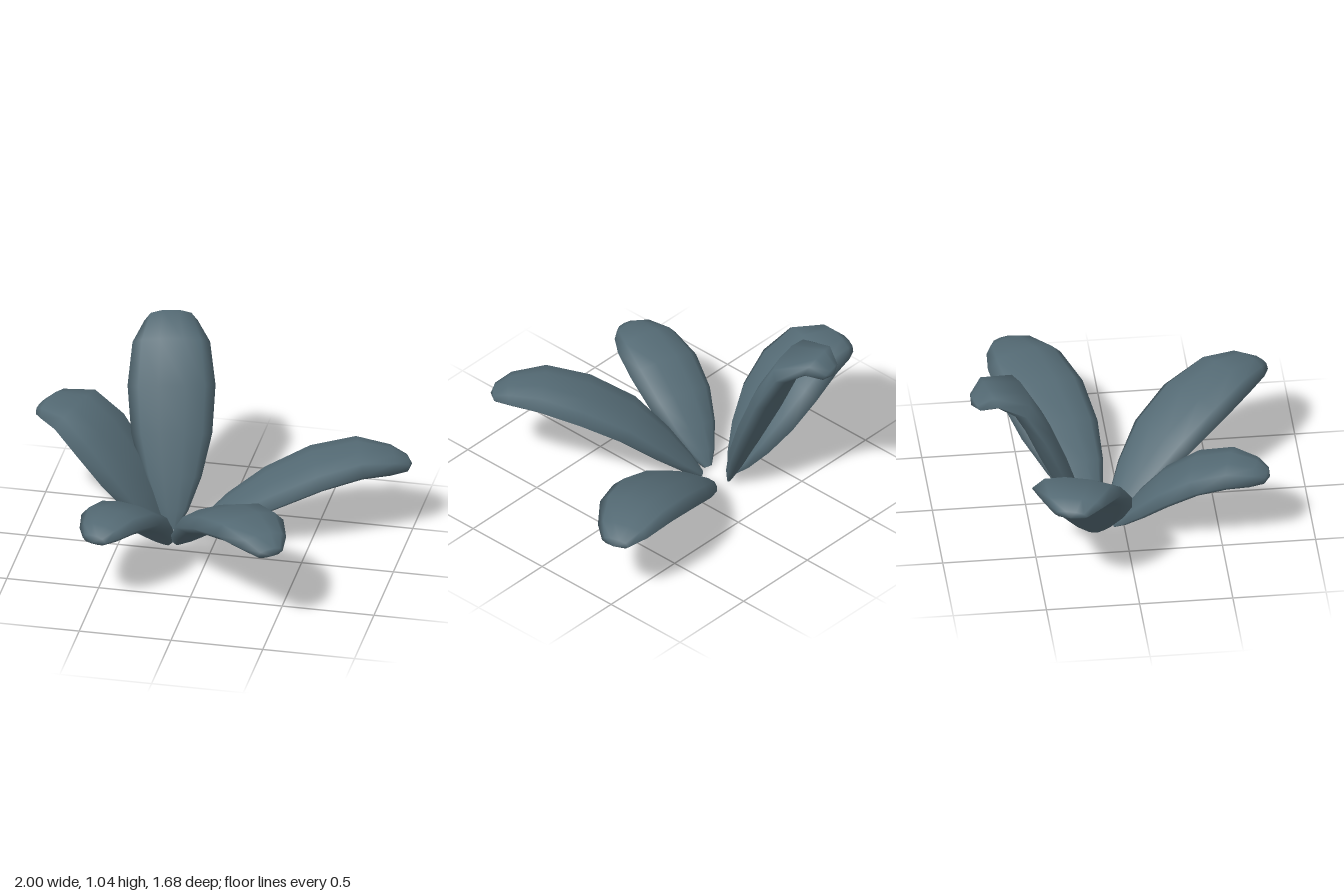
import * as THREE from 'three';

// Cross-section of a leaf: [across, up], as fractions of half width and half thickness
const SECTION = [
  [1, -0.1], [0.76, 0.66], [0.3, 0.95], [-0.3, 0.95], [-0.76, 0.66],
  [-1, -0.1], [-0.74, -0.72], [-0.28, -0.9], [0.28, -0.9], [0.74, -0.72],
];
// Stations along a leaf: [position, width, thickness]
const STATIONS = [
  [0, 0.12, 0.15], [0.08, 0.38, 0.45], [0.22, 0.69, 0.75], [0.4, 0.94, 0.95], [0.6, 1.02, 1],
  [0.78, 0.9, 1], [0.91, 0.62, 0.8], [0.98, 0.34, 0.45],
];

// Each leaf: foot and tip on the ground plan [x, z], half width, and spine [distance out, height]
const LEAVES = [
  { name: 'frontLeftLeaf', foot: [-0.18, -0.07], tip: [0.51, 0.82], width: 0.225,
    spine: [[0, 0.015], [0.14, 0.14], [0.39, 0.35], [0.7, 0.49], [0.93, 0.53], [1.13, 0.48]] },
  { name: 'backLeftLeaf', foot: [-0.15, -0.15], tip: [0.99, -0.51], width: 0.235,
    spine: [[0, 0.015], [0.25, 0.18], [0.65, 0.38], [0.93, 0.445], [1.2, 0.395]] },
  { name: 'tallBackLeaf', foot: [-0.25, -0.21], tip: [-0.39, -0.84], width: 0.23,
    spine: [[0, 0.015], [0.07, 0.22], [0.19, 0.52], [0.3, 0.78], [0.4, 0.95], [0.5, 1.005], [0.64, 0.94]] },
  { name: 'backRightLeaf', foot: [-0.3, -0.17], tip: [-1, -0.37], width: 0.265,
    spine: [[0, 0.015], [0.19, 0.31], [0.37, 0.52], [0.56, 0.64], [0.73, 0.59]] },
  { name: 'frontRightLeaf', foot: [-0.25, -0.05], tip: [-0.48, 0.76], width: 0.2,
    spine: [[0, 0.015], [0.12, 0.14], [0.28, 0.29], [0.5, 0.42], [0.66, 0.45], [0.84, 0.42]] },
];

const HALF_THICKNESS = 0.068;

// Sweeps the cross-section along the spine, closed by a point at each end
function leafGeometry({ foot, tip, width, spine }) {
  const out = new THREE.Vector3(tip[0] - foot[0], 0, tip[1] - foot[1]).normalize();
  const side = new THREE.Vector3(0, 1, 0).cross(out);
  const curve = new THREE.CatmullRomCurve3(spine.map(([r, y]) =>
    new THREE.Vector3(foot[0] + out.x * r, y, foot[1] + out.z * r)));

  const positions = [];
  const index = [];
  const n = SECTION.length;
  for (const [t, w, h] of STATIONS) {
    const centre = curve.getPointAt(t);
    const up = curve.getTangentAt(t).cross(side).normalize();
    for (const [across, rise] of SECTION) {
      const p = centre.clone()
        .addScaledVector(side, across * w * width)
        .addScaledVector(up, rise * h * HALF_THICKNESS);
      positions.push(p.x, Math.max(p.y, 0), p.z);
    }
  }
  const last = (STATIONS.length - 1) * n;
  const start = positions.length / 3;
  const end = start + 1;
  positions.push(...curve.getPointAt(0).toArray(), ...curve.getPointAt(1).toArray());

  for (let j = 0; j < n; j++) {
    const k = (j + 1) % n;
    for (let row = 0; row < last; row += n) {
      index.push(row + j, row + k, row + n + j, row + k, row + n + k, row + n + j);
    }
    index.push(start, k, j, end, last + j, last + k);
  }

  const geometry = new THREE.BufferGeometry();
  geometry.setAttribute('position', new THREE.Float32BufferAttribute(positions, 3));
  geometry.setIndex(index);
  geometry.computeVertexNormals();
  return geometry;
}

export function createModel() {
  const model = new THREE.Group();
  model.name = 'leafyPlant';
  const leafColour = new THREE.MeshStandardMaterial({ color: 0x546a74 });
  leafColour.name = 'slateBlueGreen';

  for (const leaf of LEAVES) {
    const mesh = new THREE.Mesh(leafGeometry(leaf), leafColour);
    mesh.name = leaf.name;
    model.add(mesh);
  }
  return model;
}
